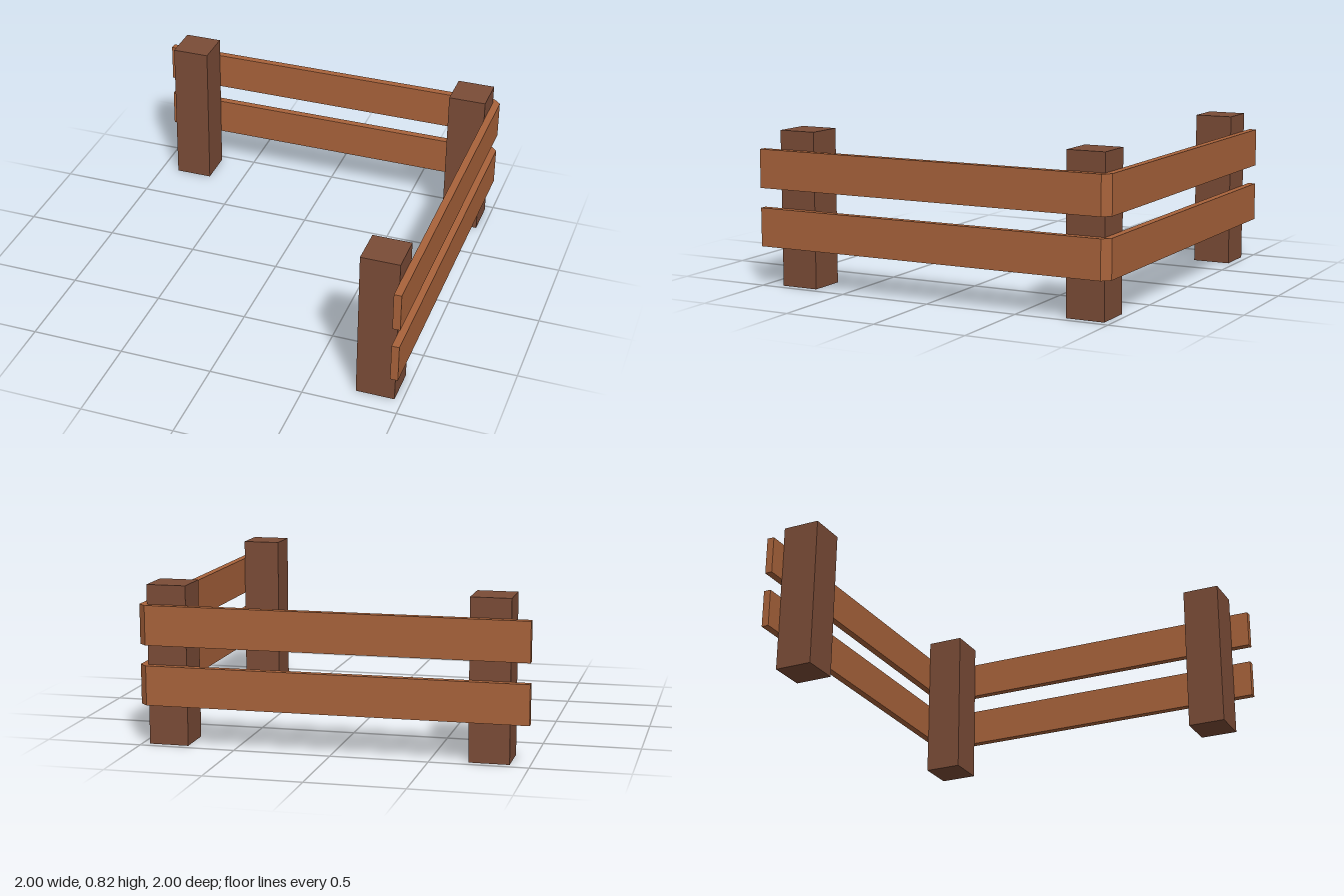
import * as THREE from 'three';

export function createModel() {
  const model = new THREE.Group();
  model.name = 'cornerFence';

  const railWood = new THREE.MeshStandardMaterial({ color: 0xa9633b });
  railWood.name = 'rail wood';
  const postWood = new THREE.MeshStandardMaterial({ color: 0x7b4c37 });
  postWood.name = 'post wood';

  // Square posts standing inside the rails
  const postSize = 0.205, postHeight = 0.825;
  const postGeometry = new THREE.BoxGeometry(postSize, postHeight, postSize);
  const posts = [
    ['backRightPost', -0.797, -0.86],
    ['cornerPost', 0.857, -0.86],
    ['frontLeftPost', 0.857, 0.793],
  ];
  for (const [name, x, z] of posts) {
    const post = new THREE.Mesh(postGeometry, postWood);
    post.name = name;
    post.position.set(x, postHeight / 2, z);
    model.add(post);
  }

  // L-shaped rails seen in plan (x, z), with a bevelled outer corner
  const inner = 0.96, railHeight = 0.205;
  const plan = new THREE.Shape([
    [-1, -1], [inner, -1], [1, -inner], [1, 1],
    [inner, 1], [inner, -inner], [-1, -inner],
  ].map(([x, z]) => new THREE.Vector2(x, z)));
  const railGeometry = new THREE.ExtrudeGeometry(plan, { depth: railHeight, bevelEnabled: false });
  railGeometry.rotateX(Math.PI / 2); // extrudes downward from the rail's top

  for (const [name, top] of [['lowerRail', 0.414], ['upperRail', 0.724]]) {
    const rail = new THREE.Mesh(railGeometry, railWood);
    rail.name = name;
    rail.position.y = top;
    model.add(rail);
  }

  return model;
}
